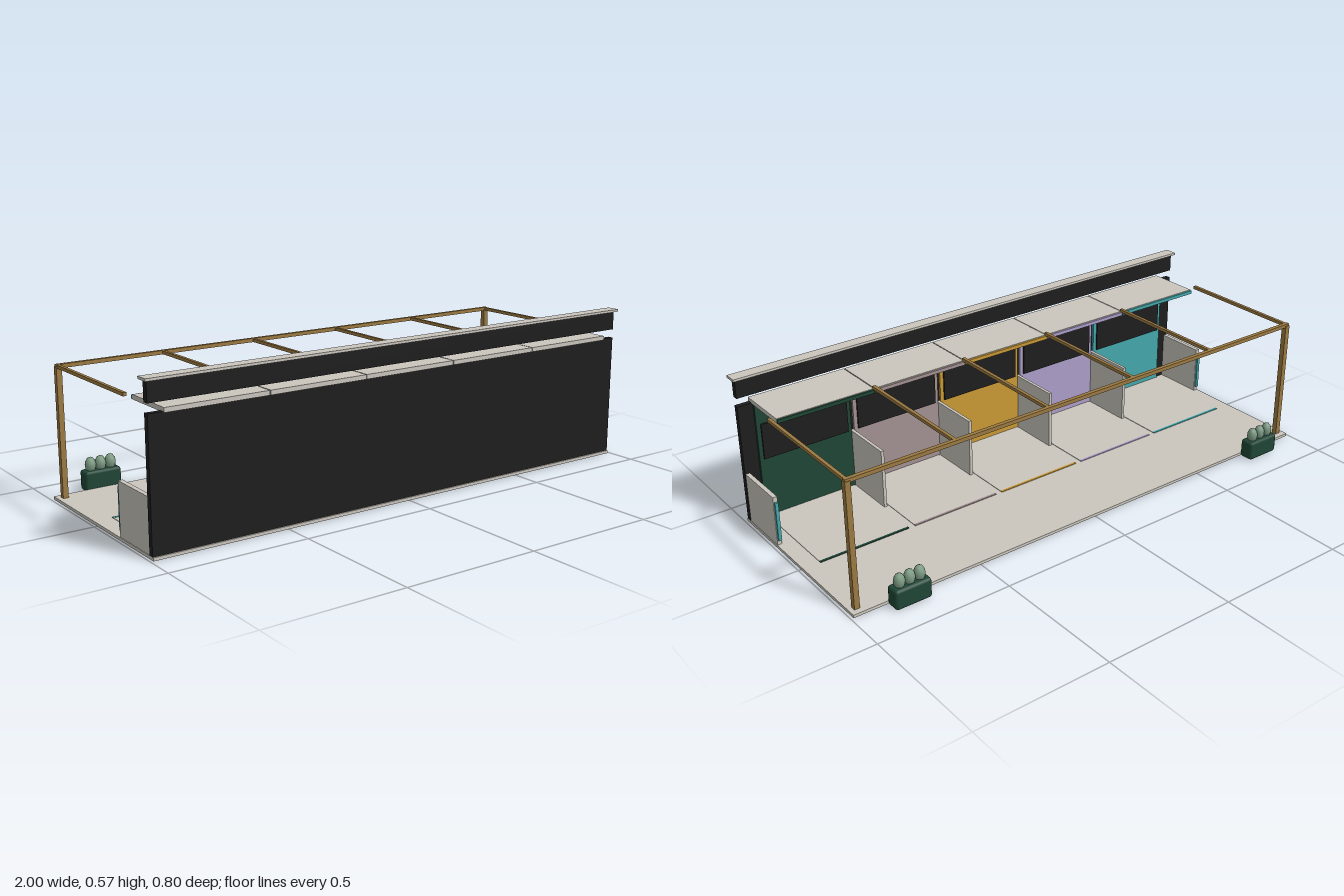
import * as THREE from 'three';
import { RoundedBoxGeometry } from 'three/addons/geometries/RoundedBoxGeometry.js';

function material(name, color) {
  const m = new THREE.MeshStandardMaterial({ color });
  m.name = name;
  return m;
}

export function createModel() {
  const root = new THREE.Group();
  root.name = 'openPavilion';
  const stone = material('paleStone', 0xcbc7be);
  const black = material('charcoal', 0x1e1e1e);
  const wood = material('brownWood', 0x9c7a42);
  const green = material('darkGreen', 0x1f4636);
  const teal = material('teal', 0x45a9ad);
  const lavender = material('lavender', 0xada0c9);
  const gold = material('gold', 0xcb9a35);
  const mauve = material('mauve', 0xa39192);
  const leaf = material('leafGreen', 0x7d9c84);

  // Box given by its extents on each axis
  function box(name, mat, [x0, x1], [y0, y1], [z0, z1], parent = root) {
    const mesh = new THREE.Mesh(new THREE.BoxGeometry(x1 - x0, y1 - y0, z1 - z0), mat);
    mesh.position.set((x0 + x1) / 2, (y0 + y1) / 2, (z0 + z1) / 2);
    mesh.name = name;
    parent.add(mesh);
    return mesh;
  }

  // Floor, front wall, fascia and cap
  box('floor', stone, [-0.99, 0.99], [0, 0.011], [-0.342, 0.39]);
  box('frontWall', black, [-0.99, 0.99], [0.011, 0.458], [0.365, 0.385]);
  box('fascia', black, [-0.99, 0.99], [0.49, 0.557], [0.363, 0.385]);
  box('fasciaCap', stone, [-1, 1], [0.559, 0.568], [0.35, 0.398]);

  // Five coloured bays with canopy, back panel, screen and floor strip
  const pitch = 0.3755;
  [teal, lavender, gold, mauve, green].forEach((mat, i) => {
    const bay = new THREE.Group();
    bay.name = 'bay';
    bay.position.x = (i - 2) * pitch;
    root.add(bay);
    box('canopy', stone, [-0.186, 0.186], [0.455, 0.471], [0.185, 0.39], bay);
    box('canopyStrip', mat, [-0.186, 0.186], [0.456, 0.469], [0.177, 0.185], bay);
    box('backPanel', mat, [-0.182, 0.182], [0.011, 0.455], [0.356, 0.365], bay);
    box('screen', black, [-0.167, 0.167], [0.24, 0.375], [0.35, 0.356], bay);
    box('floorMat', stone, [-0.175, 0.175], [0.011, 0.013], [-0.01, 0.356], bay);
    box('floorStrip', mat, [-0.175, 0.175], [0.011, 0.014], [-0.019, -0.01], bay);
  });

  // Dividers between bays, with a pergola beam above each
  for (let i = 0; i < 4; i++) {
    const x = (i - 1.5) * pitch;
    box('divider', stone, [x - 0.006, x + 0.006], [0.011, 0.237], [0.155, 0.365]);
    box('crossBeam', wood, [x - 0.006, x + 0.006], [0.469, 0.481], [-0.31, 0.187]);
  }

  // Rear pergola beam
  box('rearBeam', wood, [-0.971, 0.971], [0.468, 0.482], [-0.318, -0.303]);

  for (const s of [-1, 1]) {
    // End panels with a teal edge, posts and end beams
    const span = (c, h) => [s * c - h, s * c + h];
    box('endPanel', stone, span(0.98, 0.008), [0.011, 0.198], [0.165, 0.365]);
    box('endPanelEdge', teal, span(0.98, 0.006), [0.03, 0.178], [0.156, 0.165]);
    box('post', wood, span(0.963, 0.01), [0.011, 0.474], [-0.32, -0.3]);
    box('endBeam', wood, span(0.963, 0.006), [0.469, 0.481], [-0.31, 0.187]);

    // Planter with three shrubs
    const planter = new THREE.Group();
    planter.name = 'planter';
    planter.position.set(s * 0.797, 0, -0.37);
    root.add(planter);
    const tub = new THREE.Mesh(new RoundedBoxGeometry(0.137, 0.073, 0.056, 1, 0.01), green);
    tub.name = 'planterBox';
    tub.position.y = 0.0365;
    planter.add(tub);
    for (let i = -1; i <= 1; i++) {
      const shrub = new THREE.Mesh(new THREE.IcosahedronGeometry(0.02, 1), leaf);
      shrub.name = 'shrub';
      shrub.scale.y = 1.5;
      shrub.position.set(i * 0.038, 0.091, 0);
      planter.add(shrub);
    }
  }
  return root;
}
